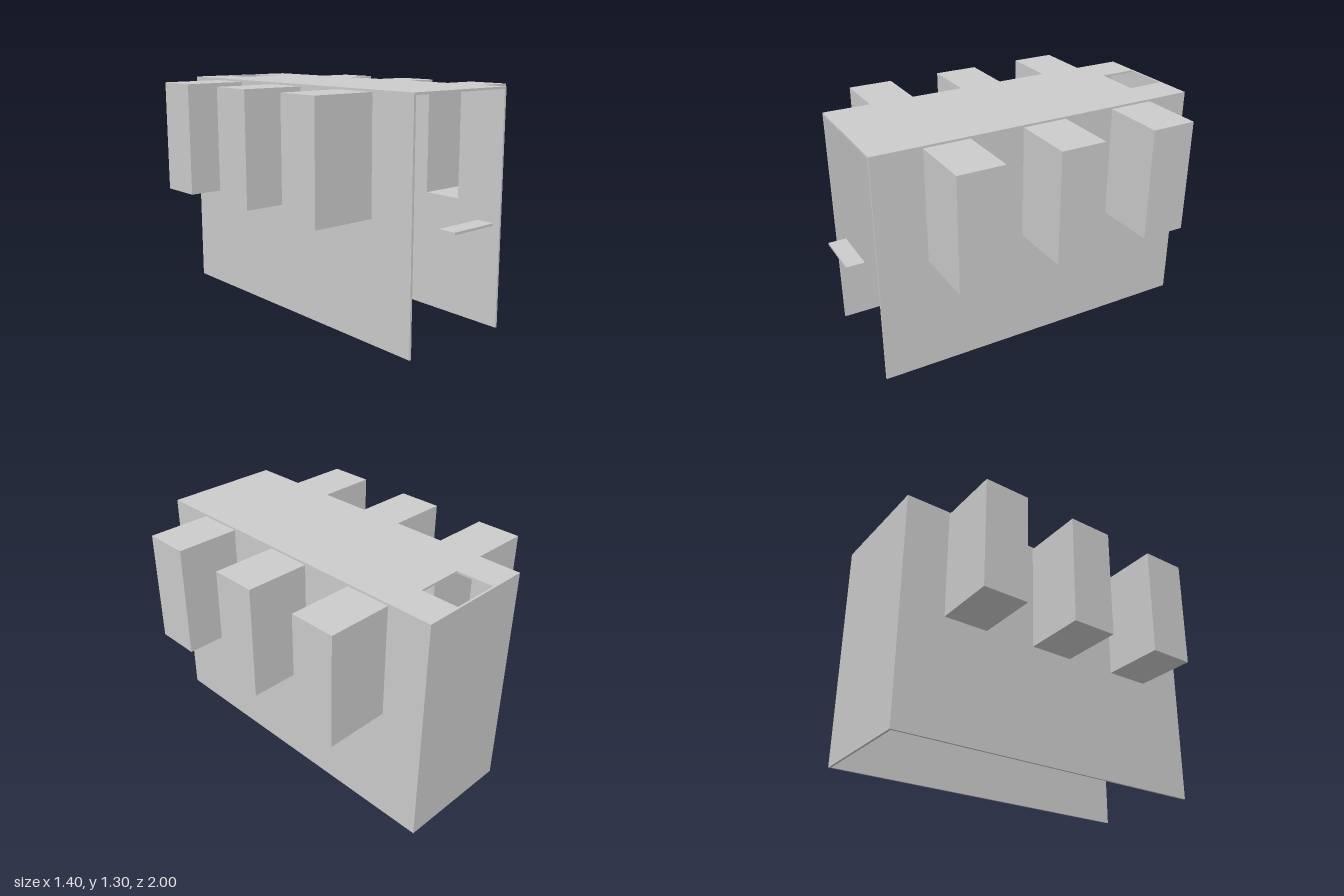
import * as THREE from 'three';

const T = 0.012; // panel thickness
const HALF_W = 0.34, BACK = -1, FRONT = 0.9, TOP = 1.3;
const BAY_Z = [0.495, -0.065, -0.62]; // bay centres
const BAY = { x0: HALF_W, x1: 0.7, y0: 0.66, y1: 1.288, depth: 0.256 };

export function createModel() {
  const model = new THREE.Group();
  const material = new THREE.MeshStandardMaterial({ color: 0xcccccc, flatShading: true, side: THREE.DoubleSide });

  // Box given by its lower and upper limits on each axis
  const slab = (name, parent, [x0, x1], [y0, y1], [z0, z1]) => {
    const mesh = new THREE.Mesh(new THREE.BoxGeometry(x1 - x0, y1 - y0, z1 - z0), material);
    mesh.position.set((x0 + x1) / 2, (y0 + y1) / 2, (z0 + z1) / 2);
    mesh.name = name;
    parent.add(mesh);
    return mesh;
  };

  const rectangle = (Type, u0, u1, v0, v1) => {
    const r = new Type();
    r.moveTo(u0, v0);
    r.lineTo(u1, v0);
    r.lineTo(u1, v1);
    r.lineTo(u0, v1);
    r.closePath();
    return r;
  };

  const panel = (name, shape) => {
    const geometry = new THREE.ExtrudeGeometry(shape, { depth: T, bevelEnabled: false });
    const mesh = new THREE.Mesh(geometry, material);
    mesh.name = name;
    model.add(mesh);
    return mesh;
  };

  // Side walls, each with a window into every bay
  for (const side of [-1, 1]) {
    const shape = rectangle(THREE.Shape, -FRONT, -BACK, 0, TOP - T);
    for (const z of BAY_Z) {
      const h = BAY.depth / 2 - T;
      shape.holes.push(rectangle(THREE.Path, -z - h, -z + h, BAY.y0 + T, BAY.y1 - T));
    }
    const wall = panel(side > 0 ? 'leftWall' : 'rightWall', shape);
    wall.rotation.y = Math.PI / 2;
    wall.position.x = side > 0 ? HALF_W - T : -HALF_W;
  }

  // Roof with the hatch opening near the back
  const roofShape = rectangle(THREE.Shape, -HALF_W, HALF_W, -FRONT, -BACK);
  roofShape.holes.push(rectangle(THREE.Path, -0.135, 0.135, 0.775, 0.988));
  const roof = panel('roof', roofShape);
  roof.rotation.x = -Math.PI / 2;
  roof.position.y = TOP - T;

  // Back wall
  slab('backWall', model, [-HALF_W + T, HALF_W - T], [0, TOP - T], [BACK, BACK + T]);

  // Hollow side bays, open towards the inside
  for (const side of [-1, 1]) {
    for (const z of BAY_Z) {
      const bay = new THREE.Group();
      bay.name = side > 0 ? 'leftBay' : 'rightBay';
      const span = (a, b) => (side > 0 ? [a, b] : [-b, -a]);
      const across = span(BAY.x0, BAY.x1 - T);
      const z0 = z - BAY.depth / 2, z1 = z + BAY.depth / 2;
      const inner = [z0 + T, z1 - T];
      slab('bayOuterWall', bay, span(BAY.x1 - T, BAY.x1), [BAY.y0, BAY.y1], [z0, z1]);
      slab('bayBackWall', bay, across, [BAY.y0, BAY.y1], [z0, z0 + T]);
      slab('bayFrontWall', bay, across, [BAY.y0, BAY.y1], [z1 - T, z1]);
      slab('bayFloor', bay, across, [BAY.y0, BAY.y0 + T], inner);
      slab('bayTop', bay, across, [BAY.y1 - T, BAY.y1], inner);
      model.add(bay);
    }
  }

  // Small shelves: one at the front, one inside below the hatch
  slab('frontShelf', model, [-0.147, 0.145], [0.617, 0.63], [FRONT, 1]);
  slab('innerShelf', model, [-0.135, 0.135], [0.648, 0.659], [BACK + T, -0.86]);

  return model;
}
